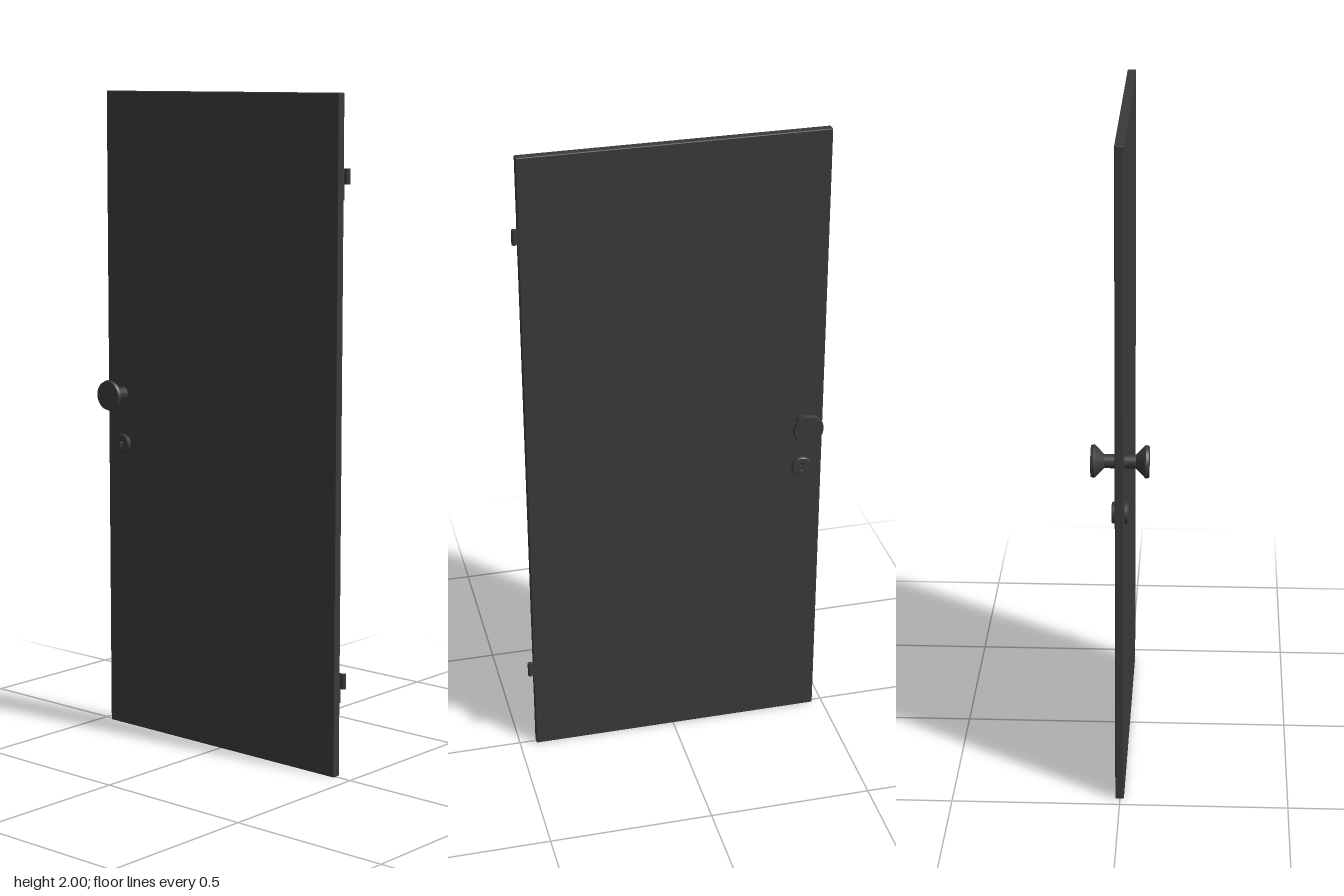
import * as THREE from 'three';
import { RoundedBoxGeometry } from 'three/addons/geometries/RoundedBoxGeometry.js';

export function createModel() {
  const model = new THREE.Group();
  model.name = 'door';
  const darkGrey = new THREE.MeshStandardMaterial({ color: 0x3a3a3a });
  darkGrey.name = 'darkGrey';

  const add = (name, geometry, x, y, z, parent = model) => {
    const mesh = new THREE.Mesh(geometry, darkGrey);
    mesh.name = name;
    mesh.position.set(x, y, z);
    parent.add(mesh);
    return mesh;
  };

  // Door slab with softened edges
  const centreZ = -0.001;
  add('slab', new RoundedBoxGeometry(0.916, 2, 0.026, 2, 0.003), -0.01, 1, centreZ);

  // Flared knob: neck, cone, rim and flat face; doubled rings keep edges crisp
  const knobProfile = [
    [0.020, 0], [0.020, 0.045], [0.020, 0.045], [0.046, 0.071], [0.046, 0.071],
    [0.048, 0.074], [0.048, 0.074], [0.045, 0.083], [0.045, 0.083], [0, 0.083],
  ].map(([r, h]) => new THREE.Vector2(r, h));
  const knobGeometry = new THREE.LatheGeometry(knobProfile, 32).rotateX(Math.PI / 2);

  // Lock collar with an open keyhole
  const collar = new THREE.Shape().absarc(0, 0, 0.028, 0, Math.PI * 2);
  const keyhole = new THREE.Path();
  keyhole.absarc(0, 0.006, 0.007, -1.1, Math.PI + 1.1, false);
  keyhole.lineTo(-0.003, -0.014);
  keyhole.lineTo(0.003, -0.014);
  keyhole.closePath();
  collar.holes.push(keyhole);
  const collarGeometry = new THREE.ExtrudeGeometry(collar, {
    depth: 0.018, bevelEnabled: true, bevelSize: 0.003, bevelThickness: 0.003,
    bevelSegments: 1, curveSegments: 24,
  });

  // The same handle set on both faces
  for (const [side, turn] of [['front', 0], ['back', Math.PI]]) {
    const set = new THREE.Group();
    set.name = side + 'HandleSet';
    set.position.set(-0.404, 0, centreZ);
    set.rotation.y = turn;
    add('knob', knobGeometry, 0, 1.065, 0, set);
    add('lockCollar', collarGeometry, 0, 0.906, 0.003, set);
    model.add(set);
  }

  // Hinges: pin barrel, leaf to the back of the door and leaf let into the edge
  const barrel = new THREE.CylinderGeometry(0.008, 0.008, 0.045, 16);
  for (const [name, y] of [['upperHinge', 1.765], ['lowerHinge', 0.29]]) {
    const hinge = new THREE.Group();
    hinge.name = name;
    hinge.position.y = y;
    add('barrel', barrel, 0.46, 0, -0.015, hinge);
    add('backLeaf', new THREE.BoxGeometry(0.028, 0.045, 0.004), 0.444, 0, -0.015, hinge);
    add('edgeLeaf', new THREE.BoxGeometry(0.004, 0.09, 0.02), 0.447, -0.0225, -0.005, hinge);
    model.add(hinge);
  }
  return model;
}
